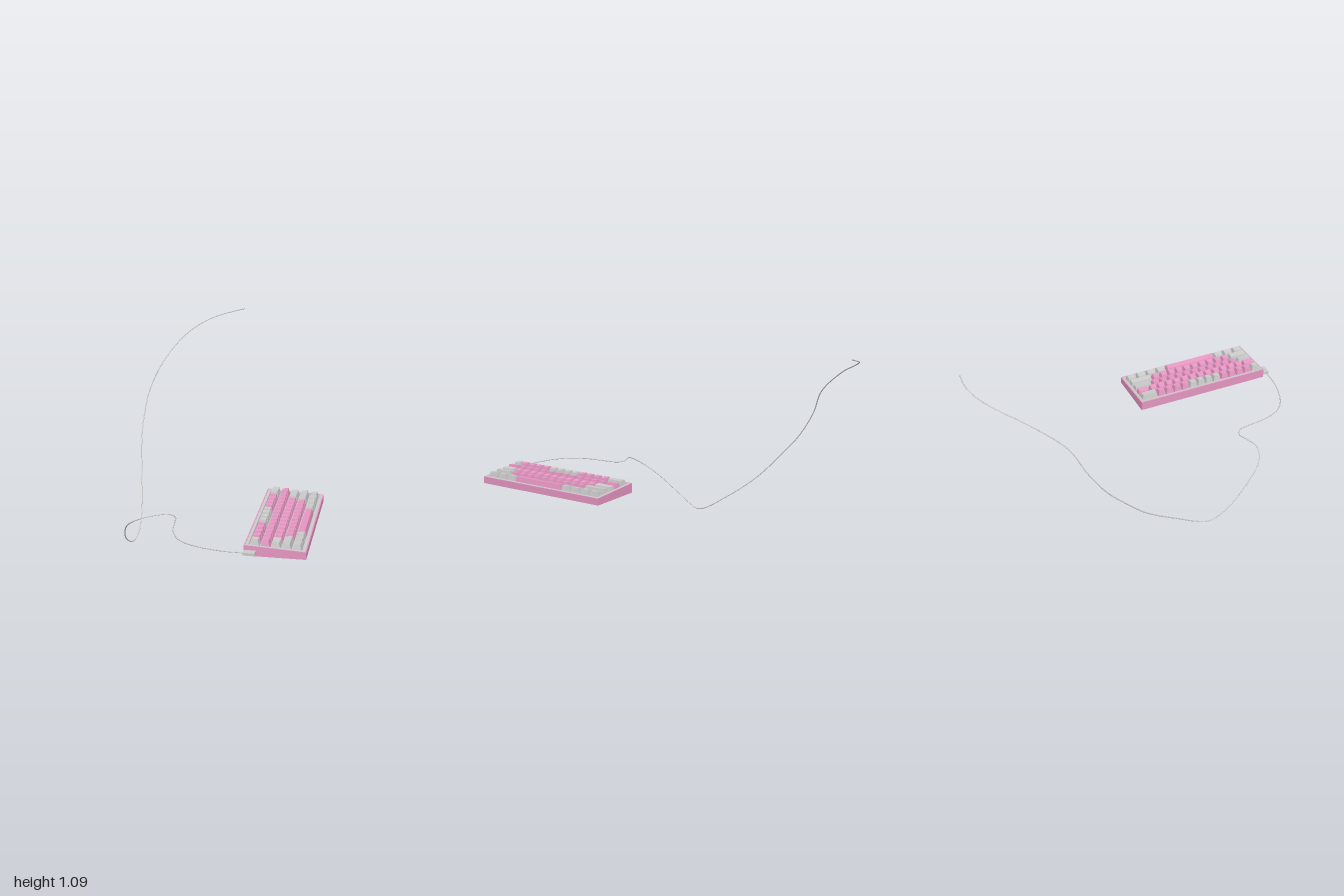
import * as THREE from 'three';

const grey = new THREE.MeshStandardMaterial({ color: 0xcccccc, flatShading: true });
const pink = new THREE.MeshStandardMaterial({ color: 0xe898c4, flatShading: true });
const cableGrey = new THREE.MeshStandardMaterial({ color: 0xcccccc });

// Case footprint and the sloping height of its rim
const X0 = 0.265, X1 = 0.57, Z0 = 0.15, Z1 = 0.962, FLOOR = 0.289;
const rim = (x) => 0.343 - 0.016 * (x - X0) / (X1 - X0);

// Key grid: one unit is the width of a letter key
const U = 0.052, KEY_X = 0.288, KEY_Z = 0.946, GAP = 0.0025;

function mesh(name, geometry, material) {
  const m = new THREE.Mesh(geometry, material);
  m.name = name;
  return m;
}

// Moves every vertex of a geometry by a rule
function reshape(geometry, rule) {
  const p = geometry.attributes.position;
  const v = new THREE.Vector3();
  for (let i = 0; i < p.count; i++) {
    rule(v.fromBufferAttribute(p, i));
    p.setXYZ(i, v.x, v.y, v.z);
  }
  geometry.computeVertexNormals();
  return geometry;
}

function rectangle(PathType, inset) {
  const a = X0 + inset, b = X1 - inset, c = -Z1 + inset, d = -Z0 - inset;
  const path = new PathType();
  path.moveTo(a, c);
  path.lineTo(b, c);
  path.lineTo(b, d);
  path.lineTo(a, d);
  path.closePath();
  return path;
}

// Rectangular ring following the slope of the rim
function ring(outer, inner, below, above) {
  const shape = rectangle(THREE.Shape, outer);
  shape.holes.push(rectangle(THREE.Path, inner));
  const g = new THREE.ExtrudeGeometry(shape, { depth: 1, bevelEnabled: false });
  g.rotateX(-Math.PI / 2);
  return reshape(g, (v) => { v.y = rim(v.x) + (v.y > 0.5 ? above : below); });
}

// Solid slab with a sloping top
function slab(inset, below, above) {
  const g = new THREE.BoxGeometry(1, 1, 1);
  return reshape(g, (v) => {
    v.x = v.x < 0 ? X0 + inset : X1 - inset;
    v.z = v.z < 0 ? Z0 + inset : Z1 - inset;
    v.y = v.y < 0 ? (below === null ? FLOOR : rim(v.x) + below) : rim(v.x) + above;
  });
}

// Tapered keycap with a shallow hollow across its top
function keycap(row, start, width, [yBack, yFront], material) {
  const g = new THREE.BoxGeometry(1, 1, 1, 1, 1, 4);
  const xa = KEY_X + row * U + GAP, xb = xa + U - 2 * GAP;
  const zb = KEY_Z - start * U - GAP, za = zb - width * U + 2 * GAP;
  reshape(g, (v) => {
    const top = v.y > 0, back = v.x < 0;
    const s = v.z * 2;
    const inset = top ? 0.007 : 0;
    v.x = back ? xa + inset : xb - inset;
    v.z = (za + zb) / 2 + s * ((zb - za) / 2 - inset);
    v.y = top ? (back ? yBack : yFront) - 0.0015 * (1 - s * s) : rim(v.x) - 0.01;
  });
  return mesh('keycap', g, material);
}

function createKeys() {
  const keys = new THREE.Group();
  keys.name = 'keys';
  const letters = (n) => Array(n).fill(1);
  const rows = [
    { widths: [...letters(13), 2], tops: [0.367, 0.366], isGrey: (i) => i === 0 || (i > 4 && i < 9) || i === 13 },
    { widths: [1.5, ...letters(12), 1.5], tops: [0.358, 0.363], isGrey: () => false },
    { widths: [1.75, ...letters(11), 2.25], tops: [0.357, 0.355], isGrey: (i) => i === 0 || i === 12 },
    { widths: [2.25, ...letters(10), 2.75], tops: [0.353, 0.357], isGrey: (i) => i === 0 || i === 11 },
    { widths: [1.25, 1.25, 1.25, 6.25, 1.25, 1.25, 1.25, 1.25], tops: [0.349, 0.354], isGrey: (i) => i !== 3 },
  ];
  rows.forEach(({ widths, tops, isGrey }, r) => {
    let start = 0;
    widths.forEach((w, i) => {
      keys.add(keycap(r, start, w, tops, isGrey(i) ? grey : pink));
      start += w;
    });
  });
  return keys;
}

function createCable() {
  const path = [
    [0.27, 0.312, 0.983], [0.15, 0.311, 0.975], [0, 0.311, 0.93], [-0.08, 0.311, 0.87],
    [-0.13, 0.312, 0.76], [-0.145, 0.312, 0.65], [-0.16, 0.312, 0.575], [-0.2, 0.313, 0.548],
    [-0.26, 0.312, 0.57], [-0.33, 0.3, 0.595], [-0.4, 0.26, 0.57], [-0.45, 0.195, 0.49],
    [-0.487, 0.088, 0.36], [-0.49, 0.025, 0.265], [-0.48, 0.006, 0.21], [-0.47, 0.026, 0.14],
    [-0.48, 0.1, 0.02], [-0.505, 0.185, -0.1], [-0.53, 0.27, -0.2], [-0.56, 0.41, -0.33],
    [-0.57, 0.525, -0.43], [-0.555, 0.67, -0.525], [-0.5, 0.81, -0.6], [-0.4, 0.95, -0.77],
    [-0.3, 1.018, -0.9], [-0.2, 1.055, -0.973], [-0.12, 1.075, -0.997], [-0.055, 1.093, -0.997],
  ].map((p) => new THREE.Vector3(...p));
  const curve = new THREE.CatmullRomCurve3(path, false, 'centripetal');
  return mesh('cable', new THREE.TubeGeometry(curve, 240, 0.003, 8), cableGrey);
}

export function createModel() {
  const model = new THREE.Group();
  model.name = 'keyboardWithCable';

  // Case: solid base, thin pink wall, grey bezel and key plate
  model.add(mesh('caseBase', slab(0, null, -0.018), pink));
  model.add(mesh('caseWall', ring(0, 0.006, -0.018, 0), pink));
  model.add(mesh('bezel', ring(0.006, 0.02, -0.018, -0.001), grey));
  model.add(mesh('keyPlate', slab(0.02, -0.019, -0.01), grey));
  model.add(createKeys());

  // Plug on the end of the case, with the cable leaving sideways
  const plug = mesh('plug', new THREE.BoxGeometry(0.06, 0.014, 0.04), grey);
  plug.position.set(0.295, 0.312, 0.98);
  model.add(plug, createCable());
  return model;
}
